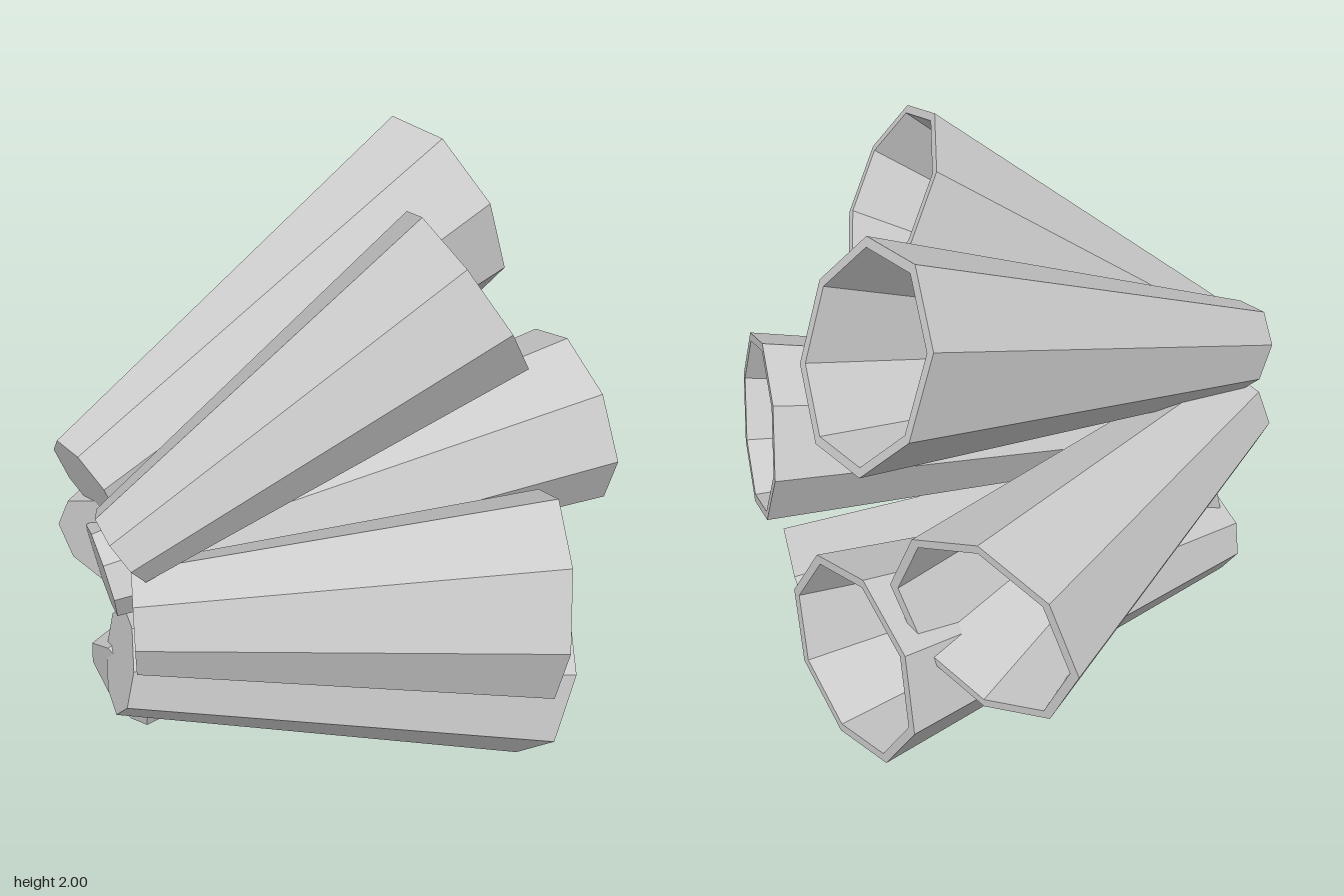
import * as THREE from 'three';

const SIDES = 8;
const FLAT = Math.PI / 8; // turns an edge, rather than a corner, to the top

// mouth centre, base centre, mouth radii along z and y, turn of the octagon, base scale
const TUBES = [
  { name: 'upperFrontTube', mouth: [0.245, 1.77, 0.37], base: [-0.74, 1.16, 0.2], rz: 0.3, ry: 0.23, turn: 0.08, taper: 0.45 },
  { name: 'upperBackTube', mouth: [0.6, 1.67, -0.31], base: [-0.735, 1.215, -0.05], rz: 0.276, ry: 0.305, turn: FLAT - 0.04, taper: 0.48 },
  { name: 'centreTube', mouth: [0.745, 1.17, 0.257], base: [-0.74, 0.955, 0.02], rz: 0.298, ry: 0.27, turn: 0, taper: 0.5 },
  { name: 'frontTube', mouth: [0.355, 0.91, 0.7], base: [-0.74, 0.935, 0.25], rz: 0.25, ry: 0.33, turn: 0, taper: 0.51 },
  { name: 'backTube', mouth: [0.445, 0.98, -0.665], base: [-0.71, 1.0, -0.055], rz: 0.28, ry: 0.285, turn: 0, taper: 0.5 },
  { name: 'lowerBackTube', mouth: [0.685, 0.643, -0.267], base: [-0.71, 0.478, -0.01], rz: 0.338, ry: 0.308, turn: 0.1, taper: 0.46 },
  { name: 'lowerFrontTube', mouth: [0.6, 0.308, 0.335], base: [-0.73, 0.645, 0.07], rz: 0.32, ry: 0.33, turn: FLAT + 0.03, taper: 0.49 },
];

// Hollow tapered tube with a closed base, a thin rim and a recessed floor
function tubeGeometry({ mouth, base, rz, ry, turn, taper }) {
  const m = new THREE.Vector3(...mouth);
  const b = new THREE.Vector3(...base);
  const axis = m.clone().sub(b);

  // a ring lies square to the axis: t runs from mouth (0) to base (1)
  const ring = (t, scale) => Array.from({ length: SIDES + 1 }, (_, i) => {
    const a = turn + (i % SIDES) / SIDES * Math.PI * 2;
    const dy = Math.cos(a) * ry * scale;
    const dz = -Math.sin(a) * rz * scale;
    const dx = -(axis.y * dy + axis.z * dz) / axis.x;
    return new THREE.Vector3(dx, dy, dz).add(m.clone().lerp(b, t));
  });

  // base cap, outer wall, rim, inner wall, floor
  const rings = [ring(1, 0), ring(1, taper), ring(0, 1), ring(0, 0.91), ring(0.38, 0.65), ring(0.38, 0)];
  const points = [];
  for (let j = 0; j < rings.length - 1; j++) {
    for (let i = 0; i < SIDES; i++) {
      const p = rings[j][i], q = rings[j][i + 1];
      const r = rings[j + 1][i + 1], s = rings[j + 1][i];
      if (j < rings.length - 2) points.push(p, s, r);
      if (j > 0) points.push(p, r, q);
    }
  }
  const geometry = new THREE.BufferGeometry().setFromPoints(points);
  geometry.computeVertexNormals();
  return geometry;
}

export function createModel() {
  const model = new THREE.Group();
  model.name = 'tubeCluster';
  const material = new THREE.MeshStandardMaterial({ color: 0xcccccc, flatShading: true });
  for (const tube of TUBES) {
    const mesh = new THREE.Mesh(tubeGeometry(tube), material);
    mesh.name = tube.name;
    model.add(mesh);
  }
  return model;
}
